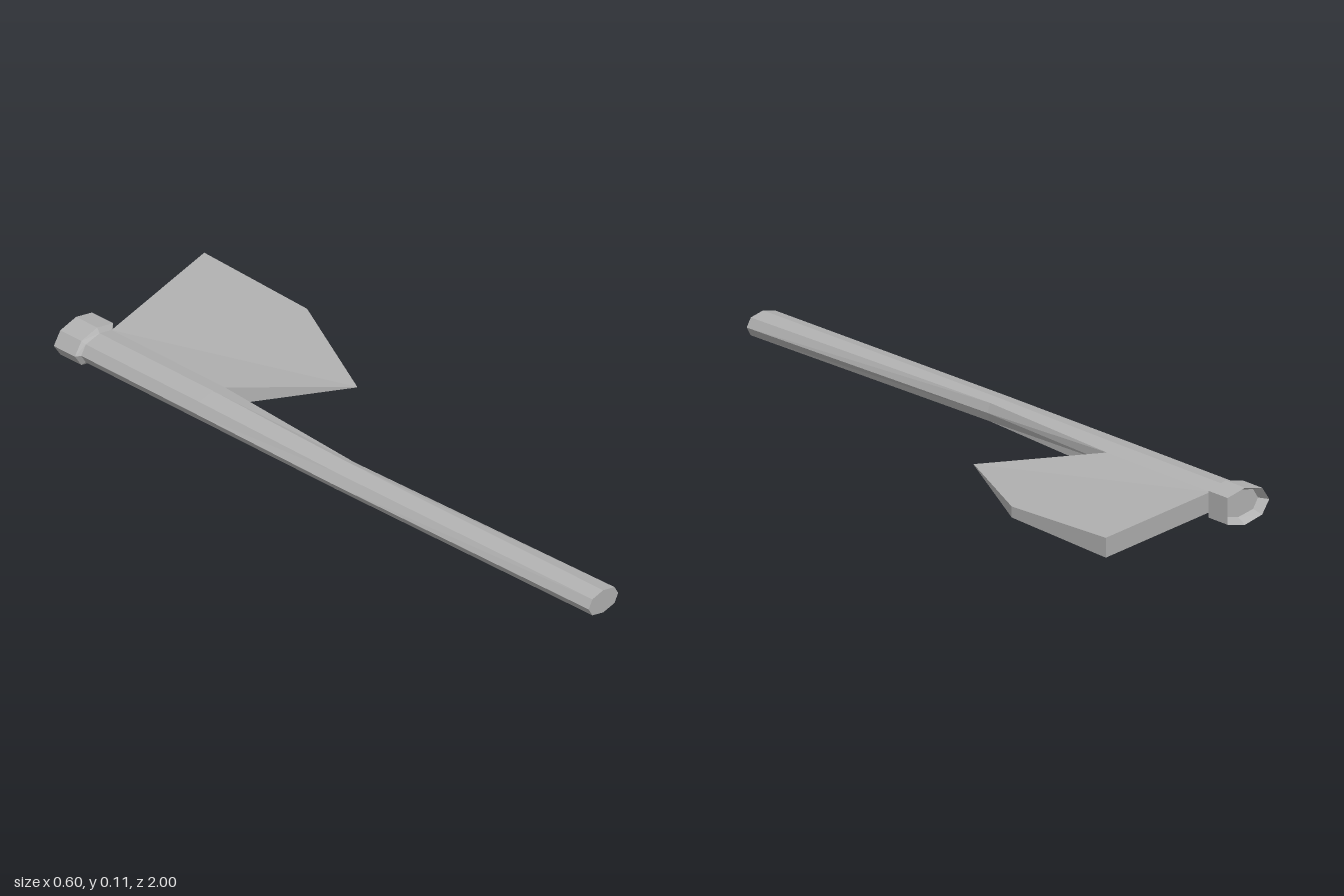
import * as THREE from 'three';

const steel = new THREE.MeshStandardMaterial({ color: 0xb0b0b0, flatShading: true });
steel.name = 'grey steel';

// Skin a list of matching rings (counterclockwise seen from the first end), optionally capped
function loft(name, rings, capStart, capEnd) {
  const pos = [];
  const tri = (a, b, c) => pos.push(...a, ...b, ...c);
  for (let i = 0; i < rings.length - 1; i++) {
    const p = rings[i], q = rings[i + 1], n = p.length;
    for (let j = 0; j < n; j++) {
      const k = (j + 1) % n;
      tri(p[j], q[j], q[k]);
      tri(p[j], q[k], p[k]);
    }
  }
  const first = rings[0], last = rings[rings.length - 1];
  for (let j = 1; j < first.length - 1; j++) {
    if (capStart) tri(first[0], first[j], first[j + 1]);
    if (capEnd) tri(last[0], last[j + 1], last[j]);
  }
  const geo = new THREE.BufferGeometry();
  geo.setAttribute('position', new THREE.Float32BufferAttribute(pos, 3));
  geo.computeVertexNormals();
  const mesh = new THREE.Mesh(geo, steel);
  mesh.name = name;
  return mesh;
}

// Eight-sided section: right, shoulder, middle and left x positions, half heights, depth
function section(z, right, rightShoulder, mid, leftShoulder, left, shoulder, half) {
  const y = 0.054;
  return [
    [right, y, z], [rightShoulder, y + shoulder, z], [mid, y + half, z], [leftShoulder, y + shoulder, z],
    [left, y, z], [leftShoulder, y - shoulder, z], [mid, y - half, z], [rightShoulder, y - shoulder, z],
  ];
}

export function createModel() {
  const group = new THREE.Group();
  group.name = 'axe';

  // Handle, slightly narrowed at the middle and flat where the blade joins
  const neck = (z) => section(z, -0.165, -0.165, -0.213, -0.268, -0.286, 0.029, 0.04);
  group.add(loft('handle', [
    section(1, -0.154, -0.169, -0.214, -0.257, -0.272, 0.026, 0.036),
    section(0.04, -0.187, -0.197, -0.222, -0.27, -0.289, 0.027, 0.038),
    neck(-0.48),
    neck(-0.92),
  ], true, true));

  // Collar with a small bevel and a hollow back end
  const rim = (z) => section(z, -0.148, -0.148, -0.212, -0.275, -0.301, 0.039, 0.054);
  group.add(loft('collar', [neck(-0.91), rim(-0.92), rim(-1), neck(-0.97)], false, true));

  // Blade outline as x, z and half thickness, thinning to a point at the lower corner
  const outline = [
    [-0.165, -0.91, 0.029], [-0.165, -0.48, 0.029], [0.12, -0.25, 0.001],
    [0.299, -0.61, 0.016], [0.299, -1, 0.029],
  ];
  const side = (s) => outline.map(([x, z, t]) => [x, 0.054 + s * t, z]);
  group.add(loft('blade', [side(1), side(-1)], true, true));

  return group;
}
